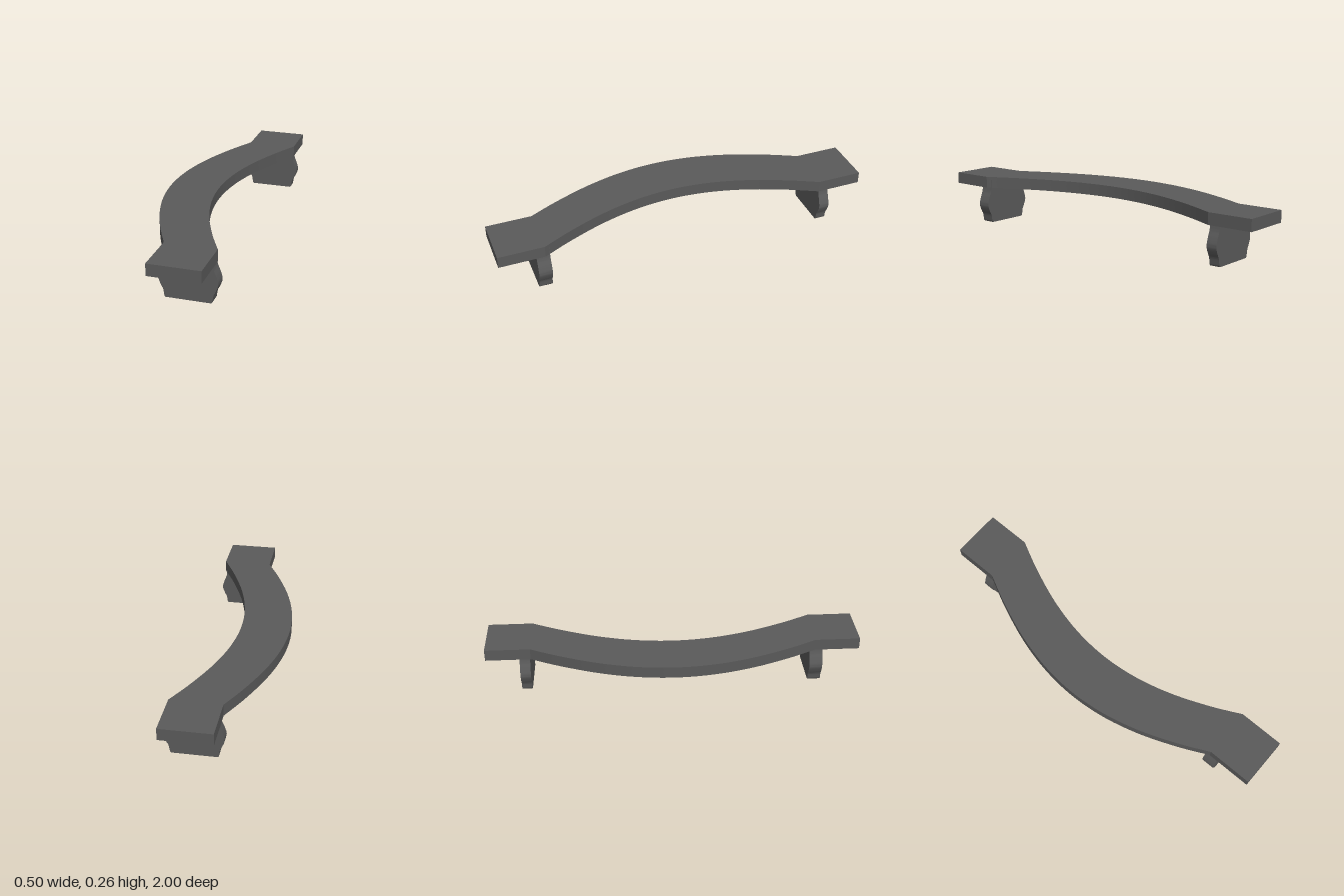
import * as THREE from 'three';
import { toCreasedNormals } from 'three/addons/utils/BufferGeometryUtils.js';

const TOP = 0.262, UNDER = 0.2, PLATE = 0.018, WALL = 0.012, KNEE = 0.76;

// Sideways bow of the seat at each distance from the middle
const bow = new THREE.SplineCurve([
  [-0.76, 0], [-0.6, 0.077], [-0.4, 0.154], [-0.2, 0.203], [0, 0.22],
  [0.2, 0.203], [0.4, 0.154], [0.6, 0.077], [0.76, 0],
].map(([z, d]) => new THREE.Vector2(z, d)));

// Plan outline of the seat (x across, y along its length), shrunk by inset
function seatOutline(inset) {
  const mid = bow.getPoints(48);
  const end = 1 - inset;
  const line = [new THREE.Vector2(-end, 0), ...mid, new THREE.Vector2(end, 0)];
  const right = line.map(p => new THREE.Vector2(0.235 - inset - p.y * 1.02, p.x));
  const left = line.map(p => new THREE.Vector2(-0.03 + inset - p.y, p.x)).reverse();
  return [...right, ...left];
}

// Extrudes a plan shape downwards from the given height
function slab(shape, top, depth) {
  const g = new THREE.ExtrudeGeometry(shape, { depth, bevelEnabled: false });
  g.rotateX(Math.PI / 2);
  g.translate(0, top, 0);
  return toCreasedNormals(g, 0.4);
}

// Vase-shaped leg panel
function legGeometry(thickness) {
  const side = new THREE.SplineCurve([
    [0.119, 0.006], [0.125, 0.042], [0.134, 0.06], [0.148, 0.1],
    [0.139, 0.14], [0.126, 0.173], [0.121, 0.2],
  ].map(p => new THREE.Vector2(...p))).getPoints(30);
  const half = [new THREE.Vector2(0.114, 0), ...side, new THREE.Vector2(0.12, TOP - PLATE)];
  const mirrored = half.map(p => new THREE.Vector2(-p.x, p.y)).reverse();
  const g = new THREE.ExtrudeGeometry(new THREE.Shape([...half, ...mirrored]), {
    depth: thickness, bevelEnabled: false,
  });
  g.translate(0.103, 0, -thickness / 2);
  return toCreasedNormals(g, 0.6);
}

export function createModel() {
  const group = new THREE.Group();
  const grey = new THREE.MeshStandardMaterial({ color: 0x5a5a5a });
  grey.name = 'dark grey';
  const add = (name, geometry, z = 0) => {
    const mesh = new THREE.Mesh(geometry, grey);
    mesh.name = name;
    mesh.position.z = z;
    group.add(mesh);
  };

  // Seat: a plate with a rim around its hollow underside
  add('seatPlate', slab(new THREE.Shape(seatOutline(0)), TOP, PLATE));
  const rim = new THREE.Shape(seatOutline(0));
  rim.holes.push(new THREE.Path(seatOutline(WALL)));
  add('seatRim', slab(rim, TOP - PLATE, TOP - PLATE - UNDER));

  // Legs reach up into the hollow
  add('frontLeg', legGeometry(0.07), 0.77);
  add('backLeg', legGeometry(0.056), -0.793);

  return group;
}
